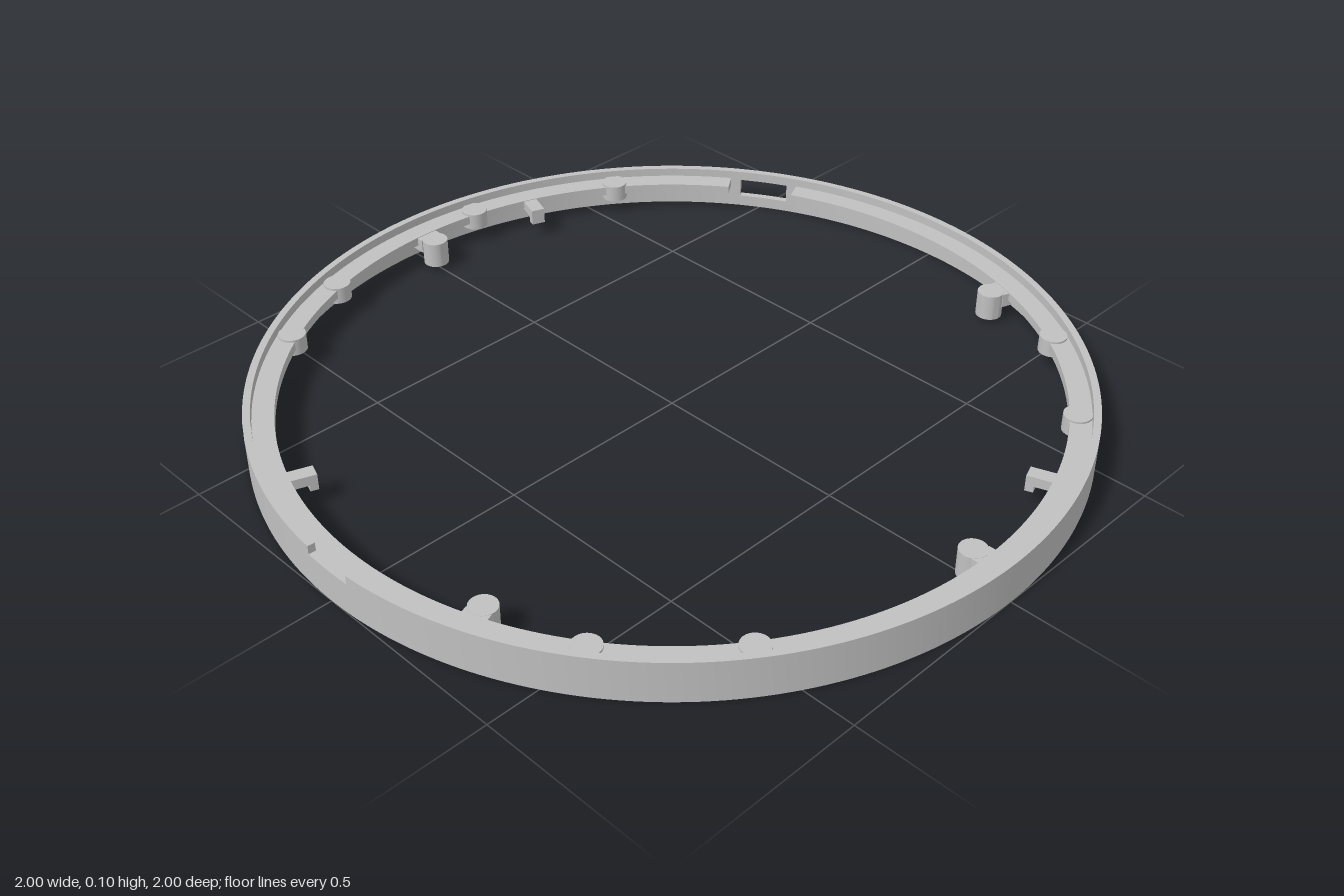
import * as THREE from 'three';
import { toCreasedNormals } from 'three/addons/utils/BufferGeometryUtils.js';

const RAD = Math.PI / 180;
const WALL_IN = 0.982, LEDGE_IN = 0.93, TOP = 0.105, LEDGE_TOP = 0.083;

export function createModel() {
  const grey = new THREE.MeshStandardMaterial({ color: 0xc0c0c0 });
  grey.name = 'light grey';
  const root = new THREE.Group();
  root.name = 'ringFrame';

  const add = (name, geo, parent = root) => {
    const mesh = new THREE.Mesh(geo, grey);
    mesh.name = name;
    parent.add(mesh);
    return mesh;
  };

  // Ring sector between two angles in degrees, measured from +x towards +z
  const sector = (r0, r1, y0, y1, a0, a1) => {
    const n = Math.max(4, Math.ceil((a1 - a0) / 1.5));
    const pts = [];
    const put = (r, a) => pts.push(new THREE.Vector2(r * Math.cos(a * RAD), r * Math.sin(a * RAD)));
    for (let i = 0; i <= n; i++) put(r1, a0 + ((a1 - a0) * i) / n);
    for (let i = n; i >= 0; i--) put(r0, a0 + ((a1 - a0) * i) / n);
    const geo = new THREE.ExtrudeGeometry(new THREE.Shape(pts), { depth: y1 - y0, bevelEnabled: false });
    geo.rotateX(Math.PI / 2).translate(0, y1, 0);
    return toCreasedNormals(geo, 0.5);
  };

  // Group whose +z axis points outwards at the given angle
  const radial = (name, angle) => {
    const g = new THREE.Group();
    g.name = name;
    g.rotation.y = (90 - angle) * RAD;
    root.add(g);
    return g;
  };

  // Block spanning a radial range
  const block = (name, w, y0, y1, r0, r1, parent) =>
    add(name, new THREE.BoxGeometry(w, y1 - y0, r1 - r0), parent)
      .position.set(0, (y0 + y1) / 2, (r0 + r1) / 2);

  // Outer wall, with a notch at the front and a window at the back
  for (const [y0, y1, a0, a1] of [
    [0, TOP, 94, 118],
    [0, TOP, 122, 236.15],
    [0, TOP, 243.85, 446.5],
    [0, LEDGE_TOP, 86.5, 94],
    [0, 0.03, 236.15, 243.85],
    [0.08, TOP, 236.15, 243.85],
  ]) add('outerWall', sector(WALL_IN, 1, y0, y1, a0, a1));

  // Short wall panel with a small round hole
  const half = Math.sin(2 * RAD);
  const panel = new THREE.Shape();
  panel.moveTo(-half, 0).lineTo(half, 0).lineTo(half, TOP).lineTo(-half, TOP).closePath();
  panel.holes.push(new THREE.Path().absarc(0, 0.075, 0.012, 0, Math.PI * 2, true));
  add('pinholePanel',
    new THREE.ExtrudeGeometry(panel, { depth: 1 - WALL_IN, bevelEnabled: false, curveSegments: 12 }),
    radial('pinholeSection', 120)).position.z = WALL_IN - 0.0004;

  // Inner ledge, open behind the window
  add('innerLedge', sector(LEDGE_IN, WALL_IN, 0.06, LEDGE_TOP, 245.5, 594.6));

  // Round bosses set into the ledge
  for (const [x, z] of [
    [0.542, -0.778], [0.775, -0.547], [-0.778, -0.547], [-0.935, -0.17],
    [-0.893, 0.32], [-0.778, 0.54], [0.775, 0.54], [0.542, 0.775],
  ]) {
    add('ledgeBoss', new THREE.CylinderGeometry(0.034, 0.034, 0.044, 32)).position.set(x, 0.066, z);
  }

  // Tall screw posts with a blind hole underneath, joined to the ledge by an arm
  const profile = [[0, 0.05], [0.013, 0.05], [0.013, 0.015], [0.033, 0.015], [0.033, 0.082], [0, 0.082]]
    .map(([r, y]) => new THREE.Vector2(r, y));
  for (const angle of [-70, 0, 70, 180]) {
    const g = radial('screwPost', angle);
    add('post', toCreasedNormals(new THREE.LatheGeometry(profile, 32), 0.5), g).position.z = 0.894;
    block('postArm', 0.06, 0.045, 0.0815, 0.912, 0.95, g);
  }

  // Small square clips
  for (const angle of [-20, 110, 200]) {
    const g = radial('clip', angle);
    block('clipArm', 0.036, 0.056, 0.0815, 0.875, 0.95, g);
    block('clipTip', 0.036, 0.04, 0.0815, 0.87, 0.89, g);
  }

  return root;
}
